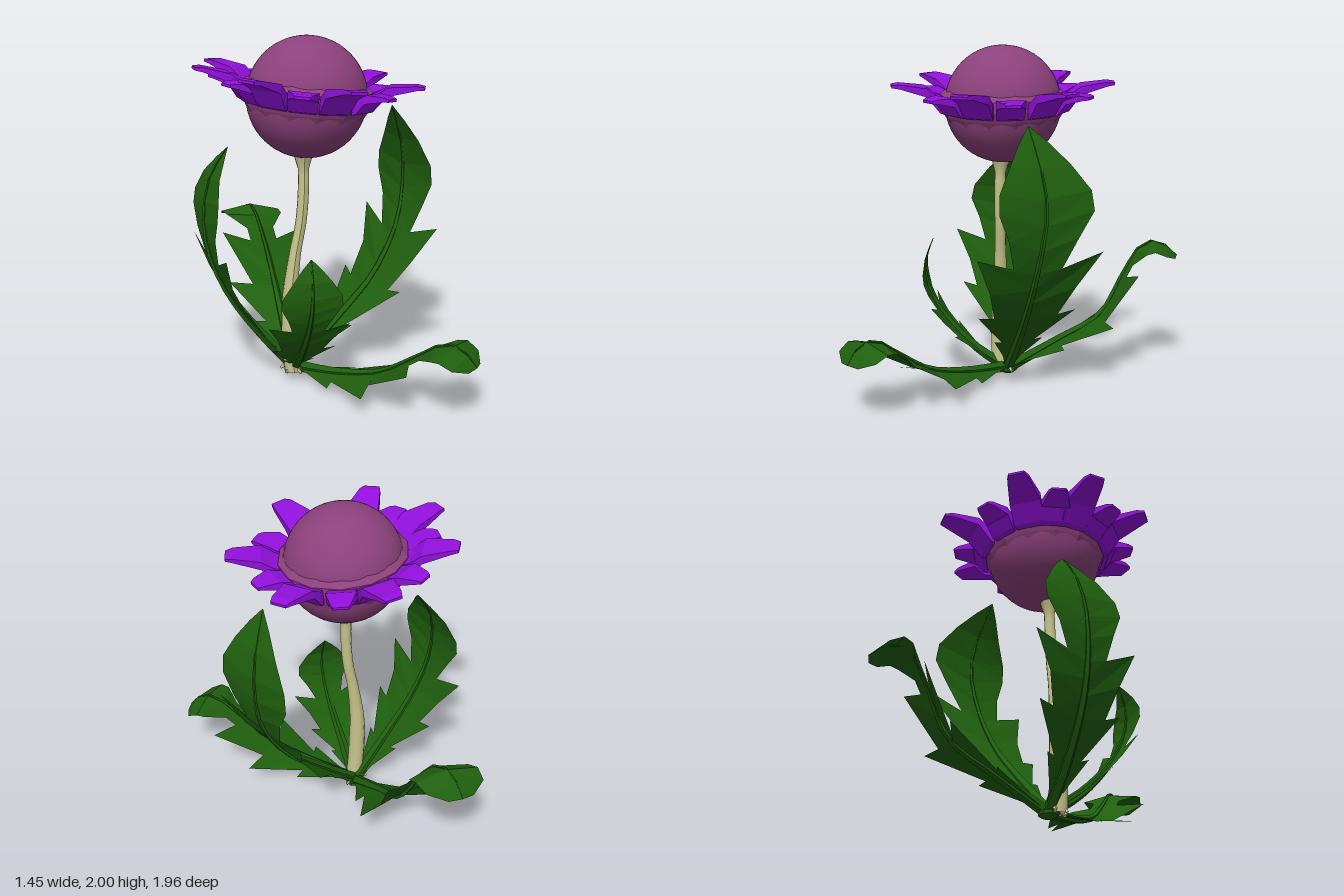
import * as THREE from 'three';

const V = (p) => new THREE.Vector3(...p);
const curveOf = (pts) => new THREE.CatmullRomCurve3(pts.map(V), false, 'centripetal');
const flat = (color) => new THREE.MeshStandardMaterial({ color, flatShading: true, side: THREE.DoubleSide });
const leafMat = flat(0x1f5f0e);
const petalMat = flat(0x9310de);
const stemMat = new THREE.MeshStandardMaterial({ color: 0xc9c68c, side: THREE.DoubleSide });
const bulbMat = new THREE.MeshStandardMaterial({ color: 0x8c417c });
const collarMat = flat(0x8c417c);

function add(parent, name, geometry, material) {
  const mesh = new THREE.Mesh(geometry, material);
  mesh.name = name;
  parent.add(mesh);
  return mesh;
}

function geometryFrom(verts, index) {
  const geo = new THREE.BufferGeometry();
  geo.setAttribute('position', new THREE.Float32BufferAttribute(verts, 3));
  geo.setIndex(index);
  geo.computeVertexNormals();
  return geo;
}

// Tube whose radius follows radius(u) along the curve
function taperedTube(curve, segments, sides, radius) {
  const geo = new THREE.TubeGeometry(curve, segments, 1, sides);
  const pos = geo.attributes.position;
  const v = new THREE.Vector3();
  for (let i = 0; i < pos.count; i++) {
    const u = Math.floor(i / (sides + 1)) / segments;
    const c = curve.getPointAt(u);
    v.fromBufferAttribute(pos, i).sub(c).multiplyScalar(radius(u)).add(c);
    pos.setXYZ(i, v.x, v.y, v.z);
  }
  geo.computeVertexNormals();
  return geo;
}

// Leaf outlines: position on the rib, position of the edge point, half width
const pointed = [
  [0, 0, 0.02], [0.07, 0.09, 0.06], [0.14, 0.21, 0.15], [0.18, 0.2, 0.1],
  [0.27, 0.38, 0.29], [0.34, 0.36, 0.19], [0.42, 0.48, 0.25], [0.48, 0.61, 0.36],
  [0.54, 0.56, 0.14], [0.62, 0.66, 0.2], [0.7, 0.74, 0.27], [0.78, 0.8, 0.26],
  [0.87, 0.88, 0.17], [0.94, 0.95, 0.08], [1, 1, 0.004],
];
const blunt = [
  [0, 0, 0.02], [0.08, 0.1, 0.07], [0.17, 0.26, 0.2], [0.24, 0.25, 0.12],
  [0.34, 0.48, 0.33], [0.44, 0.46, 0.16], [0.54, 0.71, 0.29], [0.64, 0.66, 0.1],
  [0.72, 0.72, 0.1], [0.78, 0.81, 0.21], [0.87, 0.87, 0.22], [0.94, 0.95, 0.2], [1, 0.995, 0.09],
];

function makeLeaf(name, path, sideDir, outline, width, fold) {
  const leaf = new THREE.Group();
  leaf.name = name;
  const curve = curveOf(path);
  const side = V(sideDir).normalize();
  if (curve.getTangentAt(0.05).cross(side).y < 0) side.negate();
  // The blade hangs back from its rib by the fold amount
  const verts = [];
  const index = [];
  outline.forEach(([t, te, w], i) => {
    const edge = curve.getPointAt(te);
    const up = curve.getTangentAt(te).cross(side).normalize();
    for (const s of [-1, 0, 1]) {
      const p = s === 0 ? curve.getPointAt(t)
        : edge.clone().addScaledVector(side, s * w * width).addScaledVector(up, -w * width * fold);
      verts.push(p.x, Math.max(p.y, 0.005), p.z);
    }
    if (i > 0) {
      for (const k of [0, 1]) {
        const a = (i - 1) * 3 + k;
        index.push(a, a + 1, a + 4, a, a + 4, a + 3);
      }
    }
  });
  add(leaf, name + 'Blade', geometryFrom(verts, index), leafMat);
  add(leaf, name + 'Rib', taperedTube(curve, 14, 5, (u) => 0.034 * (1 - u) + 0.002), leafMat);
  return leaf;
}

// Thick bent petal pointing along +x, built from rectangular cross-sections
function petalGeometry(reach, width, rise) {
  const length = reach - 0.36;
  // radius, height of underside, thickness, half width
  const rows = [
    [0.35, -0.04, 0.09, width * 0.85],
    [0.38, -0.03, 0.09, width * 0.95],
    [0.38 + length * 0.25, rise * 0.55, 0.05, width],
    [0.36 + length * 0.85, rise * 0.95, 0.025, width * 0.68],
    [reach, rise, 0.015, width * 0.5],
  ];
  const verts = [];
  const index = [];
  rows.forEach(([r, y, h, w], i) => {
    verts.push(r, y, -w, r, y, w, r, y + h, w, r, y + h, -w);
    if (i === 0) return;
    for (let k = 0; k < 4; k++) {
      const a = (i - 1) * 4 + k;
      const b = (i - 1) * 4 + (k + 1) % 4;
      index.push(a, a + 4, b, b, a + 4, b + 4);
    }
  });
  const e = (rows.length - 1) * 4;
  index.push(0, 1, 2, 0, 2, 3, e, e + 2, e + 1, e, e + 3, e + 2);
  return geometryFrom(verts, index);
}

export function createModel() {
  const model = new THREE.Group();
  model.name = 'flower';

  // Flower head
  const head = new THREE.Group();
  head.name = 'flowerHead';
  head.position.set(-0.105, 1.66, 0.095);
  model.add(head);
  add(head, 'bulb', new THREE.SphereGeometry(0.34, 40, 28), bulbMat);

  // Faceted collar with the petal ring, tipped slightly to one side
  const ring = new THREE.Group();
  ring.name = 'petalRing';
  ring.rotation.z = -0.1;
  head.add(ring);
  const collar = [[0.3, -0.14], [0.345, -0.06], [0.367, 0], [0.367, 0.06], [0.315, 0.1]];
  add(ring, 'collar', new THREE.LatheGeometry(collar.map(([x, y]) => new THREE.Vector2(x, y)), 14), collarMat);

  // Alternating long and short petals, unevenly spread
  const longPetal = petalGeometry(0.645, 0.092, 0.115);
  const shortPetal = petalGeometry(0.55, 0.082, 0.06);
  const angles = [-90, -65, -36, -7, 20, 47, 78, 104, 130, 152, 174, 193, 216, 242];
  angles.forEach((angle, i) => {
    const petal = add(ring, i % 2 ? 'shortPetal' : 'longPetal', i % 2 ? shortPetal : longPetal, petalMat);
    petal.rotation.y = -THREE.MathUtils.degToRad(angle);
  });

  // Stem, flared under the head and thicker near the ground
  const stemPath = curveOf([
    [-0.2, 0.03, 0.12], [-0.215, 0.28, 0.12], [-0.212, 0.5, 0.115], [-0.182, 0.75, 0.115],
    [-0.145, 0.95, 0.115], [-0.13, 1.15, 0.115], [-0.13, 1.34, 0.11],
  ]);
  add(model, 'stem', taperedTube(stemPath, 32, 10,
    (u) => 0.032 + 0.019 * (1 - THREE.MathUtils.smoothstep(u, 0.2, 0.65))
      + 0.025 * Math.max(0, (u - 0.94) / 0.06)), stemMat);

  // Short roots around the foot of the stem
  for (let i = 0; i < 6; i++) {
    const a = (i / 6) * Math.PI * 2 + 0.3;
    const c = Math.cos(a);
    const s = Math.sin(a);
    const root = curveOf([[-0.19, 0.06, 0.1], [-0.19 + c * 0.05, 0.05, 0.1 + s * 0.05], [-0.18 + c * 0.09, 0.03, 0.1 + s * 0.08]]);
    add(model, 'root', taperedTube(root, 4, 5, (u) => 0.02 - 0.012 * u), stemMat);
  }
  const crown = add(model, 'leafCrown', new THREE.SphereGeometry(0.06, 8, 5), leafMat);
  crown.scale.y = 0.5;
  crown.position.set(-0.18, 0.03, 0.07);

  // Leaves
  model.add(
    makeLeaf('leftLeaf', [
      [-0.18, 0.04, 0.07], [0.12, 0.32, 0.0], [0.33, 0.54, -0.05], [0.49, 0.84, -0.11],
      [0.535, 1.13, -0.15], [0.51, 1.34, -0.12], [0.43, 1.57, -0.05],
    ], [0.22, 0, 0.6], pointed, 1, 0.03),
    makeLeaf('rightLeaf', [
      [-0.19, 0.04, 0.07], [-0.39, 0.28, 0.1], [-0.57, 0.54, 0.11], [-0.67, 0.78, 0.1],
      [-0.695, 1.02, 0.08], [-0.65, 1.22, 0.05], [-0.545, 1.38, 0.02],
    ], [0.12, 0, 0.6], pointed, 0.88, -0.03),
    makeLeaf('frontLeaf', [
      [-0.18, 0.04, 0.08], [-0.19, 0.16, 0.26], [-0.18, 0.36, 0.45], [-0.17, 0.54, 0.55],
      [-0.165, 0.7, 0.57], [-0.165, 0.85, 0.52],
    ], [1, 0, 0], pointed, 0.63, 0),
    makeLeaf('frontLeftLeaf', [
      [-0.18, 0.04, 0.08], [0.03, 0.08, 0.31], [0.23, 0.16, 0.52], [0.39, 0.31, 0.68],
      [0.52, 0.42, 0.79], [0.59, 0.4, 0.86], [0.65, 0.32, 0.91],
    ], [0.7, 0, -0.7], blunt, 0.83, 0.2),
    makeLeaf('backLeaf', [
      [-0.18, 0.04, 0.06], [-0.2, 0.21, -0.24], [-0.21, 0.37, -0.5], [-0.25, 0.6, -0.63],
      [-0.3, 0.79, -0.76], [-0.325, 0.8, -0.87], [-0.335, 0.71, -0.98],
    ], [1, 0, 0.05], blunt, 0.85, 0.22),
  );
  return model;
}
